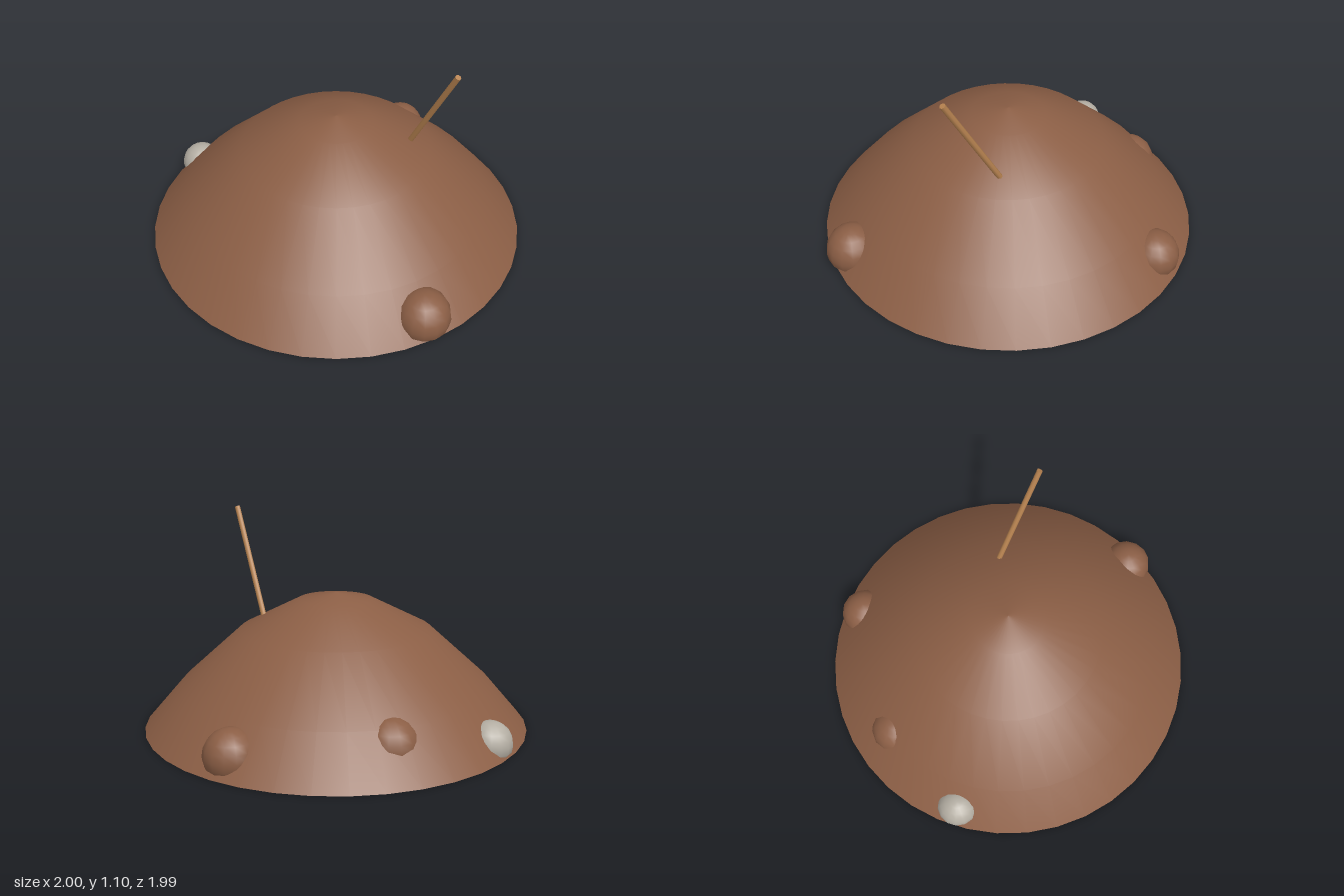
import * as THREE from 'three';

const paint = (name, color) => {
  const m = new THREE.MeshStandardMaterial({ color });
  m.name = name;
  return m;
};

export function createModel() {
  const model = new THREE.Group();
  model.name = 'mound';
  const earth = paint('earth brown', 0x8b5e45);
  const wood = paint('light wood', 0xb5814f);
  const pebble = paint('pale grey', 0xb4aea3);

  const add = (name, geometry, material) => {
    const mesh = new THREE.Mesh(geometry, material);
    mesh.name = name;
    model.add(mesh);
    return mesh;
  };

  // Mound: smooth hill with a flat underside
  const profile = [[1, 0], [0.81, 0.22], [0.5, 0.5], [0.193, 0.655], [0, 0.69]]
    .map(([r, y]) => new THREE.Vector2(r, y));
  add('hill', new THREE.LatheGeometry(profile, 38, Math.PI / 2), earth);
  add('underside', new THREE.CircleGeometry(1, 38).rotateX(Math.PI / 2), earth);

  // Half-buried stones, flattened where they meet the ground
  const addStone = (name, material, x, y, z, r) => {
    const geometry = new THREE.SphereGeometry(r, 14, 10).translate(x, y, z);
    const p = geometry.attributes.position;
    for (let i = 0; i < p.count; i++) p.setY(i, Math.max(0.001, p.getY(i)));
    geometry.computeBoundingSphere();
    add(name, geometry, material);
  };
  addStone('frontClod', earth, 0.6, 0.07, 0.66, 0.138);
  addStone('backClod', earth, 0.2, 0.075, -0.84, 0.133);
  addStone('sideClod', earth, -0.48, 0.12, -0.58, 0.14);
  addStone('palePebble', pebble, -0.87, 0.055, -0.22, 0.11);

  // Stick planted at a slant in the hill
  const foot = new THREE.Vector3(0.375, 0.54, -0.075);
  const tip = new THREE.Vector3(0.612, 1.095, 0.117);
  const along = tip.clone().sub(foot);
  const stick = add('stick', new THREE.CylinderGeometry(0.015, 0.015, along.length(), 8), wood);
  stick.position.copy(foot).add(tip).multiplyScalar(0.5);
  stick.quaternion.setFromUnitVectors(new THREE.Vector3(0, 1, 0), along.normalize());

  return model;
}
